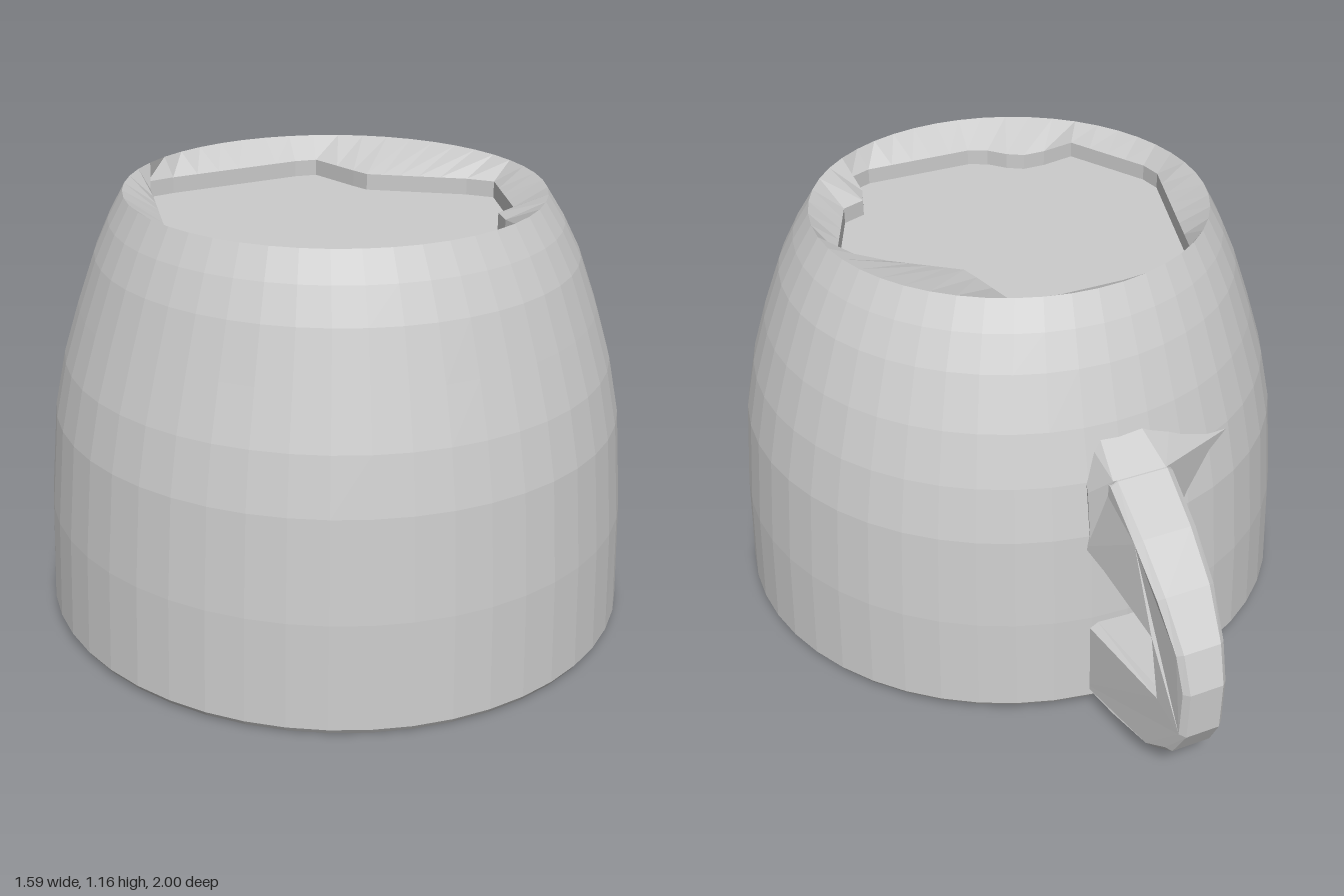
import * as THREE from 'three';
import { ConvexGeometry } from 'three/addons/geometries/ConvexGeometry.js';

const SEG = 48;
const material = new THREE.MeshStandardMaterial({ color: 0xcccccc, flatShading: true, side: THREE.DoubleSide });
const { lerp, clamp } = THREE.MathUtils;

// Skin through rings { y, r, cx, cz }; r is a number or a function of the angle.
function loft(rings) {
  const pos = [], index = [];
  for (const { y, r, cx = -0.005, cz = 0.203 } of rings) {
    for (let i = 0; i <= SEG; i++) {
      const a = (i % SEG) / SEG * Math.PI * 2;
      const rad = typeof r === 'function' ? r(a) : r;
      const z = cz + rad * Math.cos(a);
      // the lower edge rises slightly towards the handle
      const tilt = 0.016 * (1 - z) * Math.max(0, 1 - y / 0.5);
      pos.push(cx + rad * Math.sin(a), y + tilt, z);
    }
  }
  const n = SEG + 1;
  for (let j = 0; j < rings.length - 1; j++) {
    for (let i = 0; i < SEG; i++) {
      const a = j * n + i, b = a + 1, c = a + n, d = c + 1;
      index.push(a, b, d, a, d, c);
    }
  }
  const g = new THREE.BufferGeometry();
  g.setAttribute('position', new THREE.Float32BufferAttribute(pos, 3));
  g.setIndex(index);
  g.computeVertexNormals();
  return g;
}

// Radius of a regular polygon with its corners on a circle
const polygon = (radius, sides) => (a) => {
  const step = Math.PI * 2 / sides;
  return radius * Math.cos(step / 2) / Math.cos((a % step) - step / 2);
};

// Distance from a centre to an irregular outline of [x, z] corners
const outline = (pts, cx, cz) => (a) => {
  const dx = Math.sin(a), dz = Math.cos(a);
  let best = 0;
  pts.forEach(([x0, z0], i) => {
    const [x1, z1] = pts[(i + 1) % pts.length];
    const ex = x1 - x0, ez = z1 - z0, px = x0 - cx, pz = z0 - cz;
    const det = dx * ez - dz * ex;
    if (Math.abs(det) < 1e-9) return;
    const t = (px * ez - pz * ex) / det;
    const u = (px * dz - pz * dx) / det;
    if (t > 0 && u >= -1e-6 && u <= 1 + 1e-6) best = Math.max(best, t);
  });
  return best;
};

function add(group, name, geometry) {
  const mesh = new THREE.Mesh(geometry, material);
  mesh.name = name;
  group.add(mesh);
}

export function createModel() {
  const model = new THREE.Group();
  model.name = 'upturnedCup';

  // The hollow sits slightly off the axis, towards the back right
  const hollow = { cx: -0.035, cz: 0.175 };
  const mouth = { y: 0.015, r: polygon(0.69, 12), ...hollow };

  // Outer wall from the mouth up to the foot rim
  add(model, 'outerWall', loft([
    mouth,
    { y: 0.0, r: 0.787 },
    { y: 0.015, r: 0.797 },
    { y: 0.3, r: 0.787 },
    { y: 0.57, r: 0.764 },
    { y: 0.72, r: 0.733 },
    { y: 0.86, r: 0.69 },
    { y: 1.0, r: 0.64, cx: -0.01, cz: 0.21 },
    { y: 1.09, r: 0.597, cx: -0.015, cz: 0.213 },
    { y: 1.165, r: 0.553, cx: -0.02, cz: 0.215 },
  ]));

  // Foot recess: sloping rim, rough upright edge and flat floor
  const corners = [[-0.36, -0.24], [0.16, -0.24], [0.21, -0.02], [0.49, 0.2], [0.38, 0.46],
    [0.3, 0.48], [0.3, 0.66], [-0.11, 0.66], [-0.2, 0.56], [-0.33, 0.56], [-0.36, 0.63],
    [-0.53, 0.31]];
  const c = { cx: -0.02, cz: 0.215 };
  const edge = outline(corners, c.cx, c.cz);
  add(model, 'footRecess', loft([
    { y: 1.165, r: 0.553, ...c },
    { y: 1.11, r: edge, ...c },
    { y: 1.065, r: edge, ...c },
    { y: 1.065, r: 0, ...c },
  ]));

  // Faceted hollow interior
  add(model, 'interior', loft([
    { y: 0.97, r: 0, ...hollow },
    { y: 0.97, r: polygon(0.46, 12), ...hollow },
    { y: 0.76, r: polygon(0.6, 12), ...hollow },
    { y: 0.5, r: polygon(0.655, 12), ...hollow },
    mouth,
  ]));

  // Handle: side outline as (-z, y) with a hole, tapering outwards
  const side = new THREE.Shape([[0.45, 0.76], [0.6, 0.75], [0.74, 0.67], [0.86, 0.58],
    [0.95, 0.47], [0.985, 0.37], [0.98, 0.23], [0.93, 0.14], [0.85, 0.085], [0.7, 0.065],
    [0.55, 0.055]].map(([u, v]) => new THREE.Vector2(u, v)).reverse());
  side.holes.push(new THREE.Path([[0.54, 0.53], [0.64, 0.52], [0.85, 0.455],
    [0.885, 0.275], [0.54, 0.275]].map(([u, v]) => new THREE.Vector2(u, v))));
  const handle = new THREE.ExtrudeGeometry(side, {
    depth: 1.6, steps: 1, bevelThickness: 0.2, bevelSize: 0.015, bevelSegments: 1,
  });
  handle.translate(0, 0, -0.8).rotateY(Math.PI / 2);
  const p = handle.attributes.position;
  for (let i = 0; i < p.count; i++) {
    const out = clamp((-p.getZ(i) - 0.58) / 0.42, 0, 1);
    // the upper arm narrows towards its top
    const rootWidth = lerp(0.13, 0.09, clamp((p.getY(i) - 0.54) / 0.2, 0, 1));
    p.setX(i, p.getX(i) * lerp(rootWidth, 0.058, out) - lerp(0.022, 0.008, out));
  }
  handle.computeVertexNormals();
  add(model, 'handle', handle);

  // Flared root where the upper arm spreads over the wall
  const root = [[-0.2, 0.8, -0.42], [0.07, 0.82, -0.42], [-0.07, 0.84, -0.46], [0.04, 0.84, -0.46],
    [-0.09, 0.765, -0.6], [0.06, 0.765, -0.6], [-0.38, 0.7, -0.43], [-0.13, 0.7, -0.54],
    [0.1, 0.7, -0.54], [-0.14, 0.56, -0.56], [0.1, 0.56, -0.56]];
  add(model, 'handleRoot', new ConvexGeometry(root.map((v) => new THREE.Vector3(...v))));

  return model;
}
